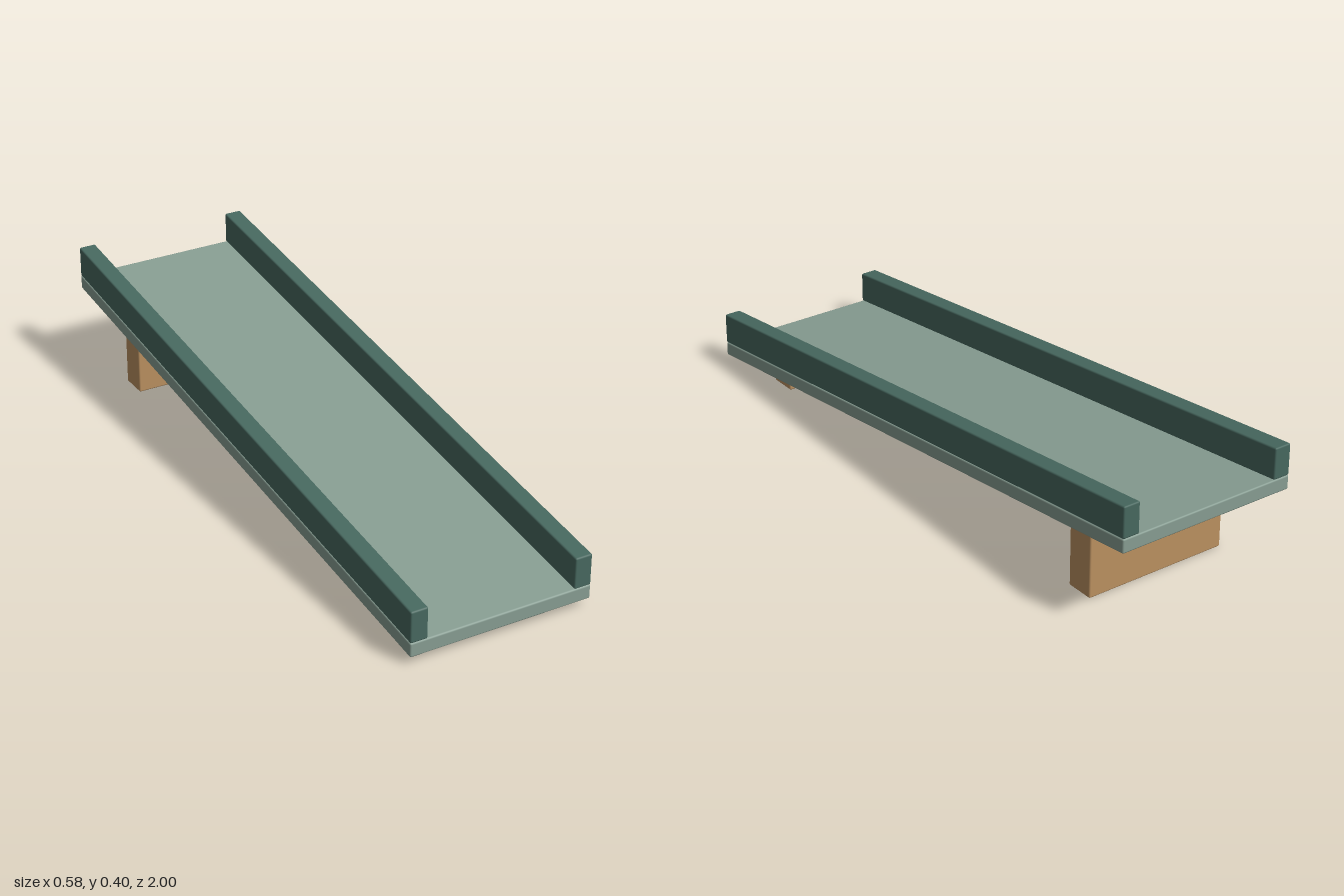
import * as THREE from 'three';
import { RoundedBoxGeometry } from 'three/addons/geometries/RoundedBoxGeometry.js';

const SLOPE = 0.1165; // rise per unit of depth toward the back
const BEVEL = 0.005;

const paint = (name, color) => {
  const material = new THREE.MeshStandardMaterial({ color });
  material.name = name;
  return material;
};

export function createModel() {
  const model = new THREE.Group();
  model.name = 'ramp';
  const sage = paint('sage green', 0x879d92);
  const pine = paint('dark green', 0x47685f);
  const wood = paint('tan wood', 0xba9060);

  // Shear that keeps the end faces vertical
  const shear = new THREE.Matrix4().set(
    1, 0, 0, 0,
    0, 1, -SLOPE, 0,
    0, 0, 1, 0,
    0, 0, 0, 1
  );

  const addBox = (name, material, size, position, sloped) => {
    const geometry = new RoundedBoxGeometry(...size, 2, BEVEL);
    if (sloped) geometry.applyMatrix4(shear);
    const mesh = new THREE.Mesh(geometry, material);
    mesh.name = name;
    mesh.position.set(...position);
    model.add(mesh);
  };

  // Sloping deck
  addBox('deck', sage, [0.576, 0.044, 2], [0, 0.164, 0], true);

  // Side rails resting on the deck
  for (const [name, side] of [['leftRail', 1], ['rightRail', -1]]) {
    addBox(name, pine, [0.054, 0.098, 2], [side * 0.261, 0.235, 0], true);
  }

  // Level support blocks under the deck
  for (const [name, height, z] of [['frontSupport', 0.054, 0.755], ['backSupport', 0.23, -0.755]]) {
    addBox(name, wood, [0.466, height, 0.09], [0, height / 2, z], false);
  }

  return model;
}
